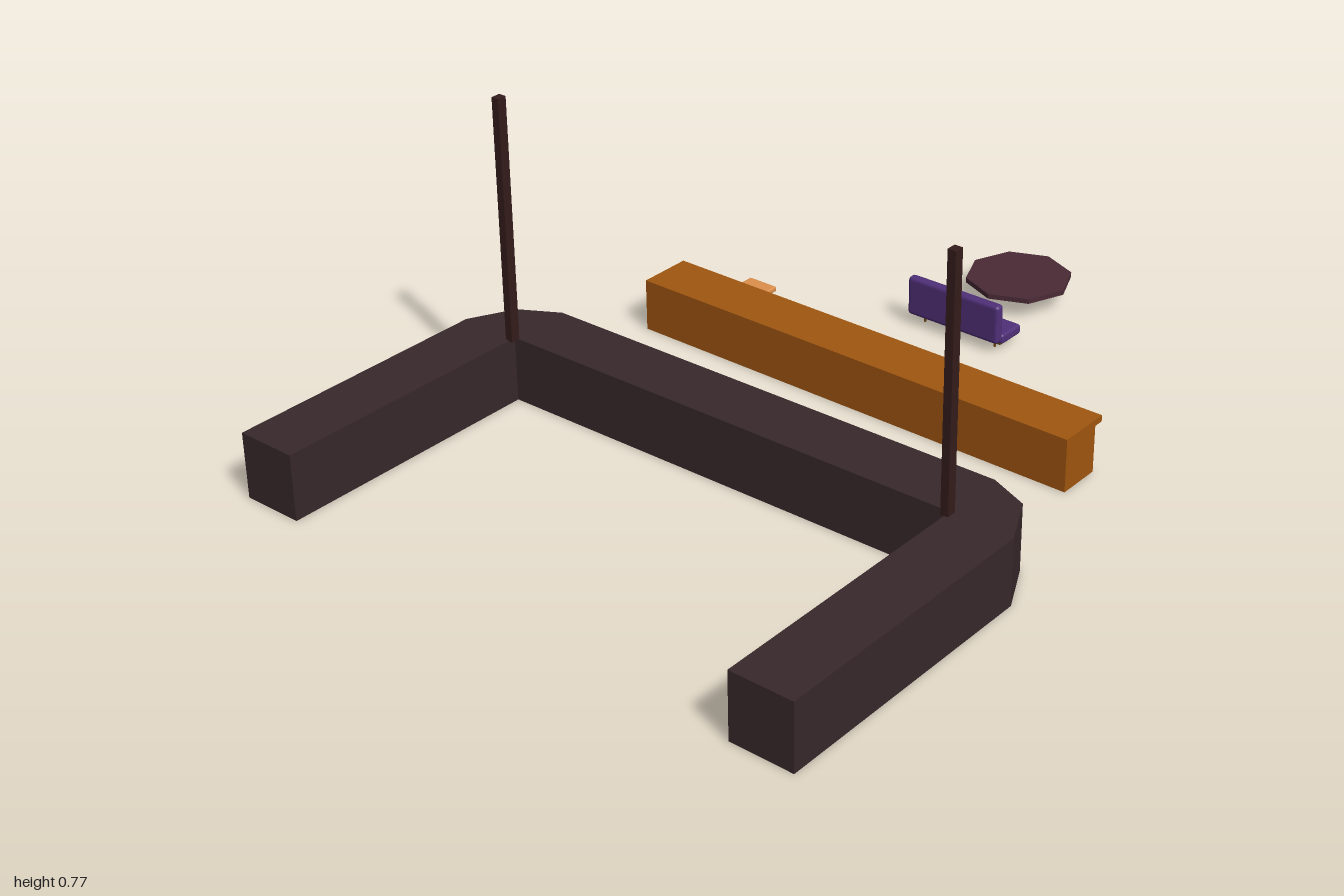
import * as THREE from 'three';
import { RoundedBoxGeometry } from 'three/addons/geometries/RoundedBoxGeometry.js';

const mat = (color) => new THREE.MeshStandardMaterial({ color, flatShading: true });
const wallMat = mat(0x38282b), postMat = mat(0x351c1c), counterMat = mat(0xa0560f);
const stoolMat = mat(0xdd8f4d), legMat = mat(0x7a5638), benchMat = mat(0x4f2f78);
const tableMat = mat(0x4a2a36), woodMat = mat(0x6b4515);

function add(parent, name, geometry, material, x = 0, y = 0, z = 0) {
  const mesh = new THREE.Mesh(geometry, material);
  mesh.name = name;
  mesh.position.set(x, y, z);
  parent.add(mesh);
  return mesh;
}

// Box given by its limits on each axis
function span(parent, name, material, [x0, x1], [y0, y1], [z0, z1], radius = 0) {
  const size = [x1 - x0, y1 - y0, z1 - z0];
  const geo = radius ? new RoundedBoxGeometry(...size, 2, radius) : new THREE.BoxGeometry(...size);
  return add(parent, name, geo, material, (x0 + x1) / 2, (y0 + y1) / 2, (z0 + z1) / 2);
}

function group(parent, name, x = 0, z = 0) {
  const g = new THREE.Group();
  g.name = name;
  g.position.set(x, 0, z);
  parent.add(g);
  return g;
}

export function createModel() {
  const model = new THREE.Group();
  model.name = 'barArea';

  // U-shaped low wall with bevelled corners, plan as (x, z)
  const plan = [
    [-0.775, 0.99], [-0.62, 0.99], [-0.62, 0.305], [0.615, 0.29], [0.615, 1], [0.775, 1],
    [0.775, 0.29], [0.715, 0.17], [0.615, 0.128], [-0.62, 0.145], [-0.718, 0.2], [-0.775, 0.31],
  ];
  const shape = new THREE.Shape(plan.map(([x, z]) => new THREE.Vector2(x, -z)));
  const wall = new THREE.ExtrudeGeometry(shape, { depth: 0.165, bevelEnabled: false });
  add(model, 'lowWall', wall.rotateX(-Math.PI / 2), wallMat);

  // Posts on the inner corners
  for (const [x, z] of [[-0.62, 0.312], [0.615, 0.298]]) {
    span(model, 'post', postMat, [x - 0.01, x + 0.01], [0.163, 0.774], [z - 0.012, z + 0.012]);
  }

  // Counter with a top that overhangs at the back
  const counter = group(model, 'counter');
  span(counter, 'counterBody', counterMat, [-0.62, 0.615], [0, 0.118], [-0.264, -0.15]);
  span(counter, 'counterTop', counterMat, [-0.62, 0.615], [0.118, 0.134], [-0.29, -0.15]);

  // Stool with four slightly splayed legs
  const stool = group(model, 'stool', -0.457, -0.367);
  span(stool, 'stoolSeat', stoolMat, [-0.042, 0.042], [0.067, 0.081], [-0.039, 0.039], 0.004);
  for (const sx of [-1, 1]) for (const sz of [-1, 1]) {
    const leg = new THREE.CylinderGeometry(0.003, 0.003, 0.068, 6);
    const mesh = add(stool, 'stoolLeg', leg, legMat, sx * 0.032, 0.034, sz * 0.03);
    mesh.rotation.set(-sz * 0.06, 0, sx * 0.06);
  }

  // Padded bench facing the table
  const bench = group(model, 'bench');
  span(bench, 'benchBack', benchMat, [-0.135, 0.135], [0.027, 0.13], [-0.602, -0.575], 0.009);
  span(bench, 'benchSeat', benchMat, [-0.135, 0.135], [0.018, 0.044], [-0.68, -0.6], 0.007);
  span(bench, 'benchFrame', woodMat, [-0.125, 0.125], [0.013, 0.02], [-0.672, -0.605]);
  for (const x of [-0.105, 0.105]) for (const z of [-0.666, -0.612]) {
    add(bench, 'benchLeg', new THREE.CylinderGeometry(0.004, 0.003, 0.014, 6), woodMat, x, 0.007, z);
  }

  // Octagonal pedestal table with crossed supports
  const table = group(model, 'table', 0, -0.865);
  add(table, 'tableTop', new THREE.CylinderGeometry(0.135, 0.135, 0.013, 8), tableMat, 0, 0.0565, 0);
  add(table, 'tableColumn', new THREE.CylinderGeometry(0.006, 0.006, 0.05, 8), woodMat, 0, 0.026, 0);
  for (const turn of [0, Math.PI / 2]) {
    add(table, 'topSupport', new THREE.BoxGeometry(0.11, 0.009, 0.012), woodMat, 0, 0.046, 0).rotation.y = turn;
    add(table, 'foot', new THREE.BoxGeometry(0.052, 0.006, 0.012), woodMat, 0, 0.003, 0).rotation.y = turn;
  }

  return model;
}
